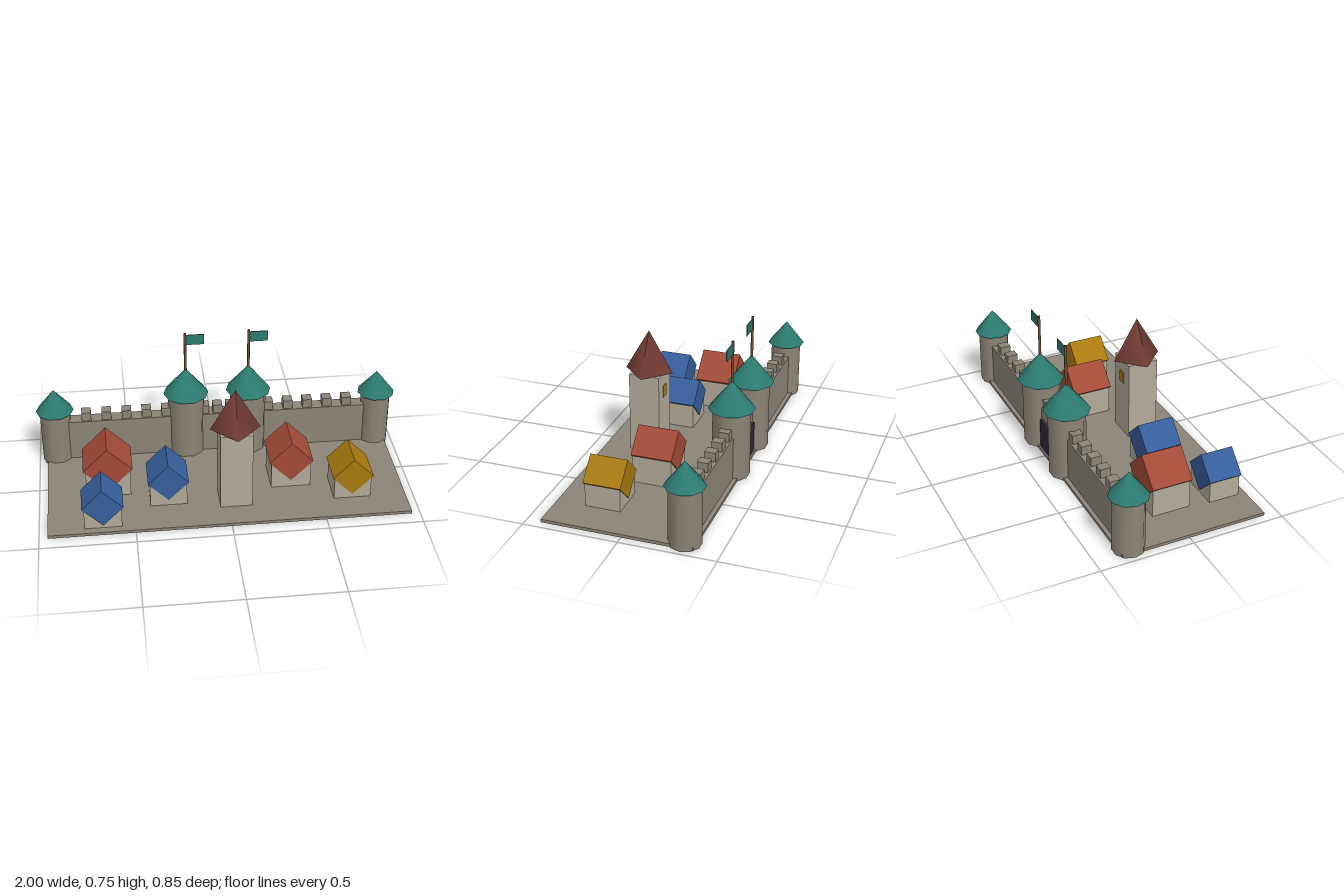
import * as THREE from 'three';

const mat = (name, color, side = THREE.FrontSide) => {
  const m = new THREE.MeshStandardMaterial({ color, side });
  m.name = name;
  return m;
};

export function createModel() {
  const model = new THREE.Group();
  model.name = 'castleTown';

  const stone = mat('stone', 0x8c8477);
  const plaster = mat('plaster', 0xb3ab99);
  const teal = mat('teal', 0x2c7a70);
  const brown = mat('brownRoof', 0x6e3a32);
  const red = mat('redRoof', 0xa34a38);
  const blue = mat('blueRoof', 0x365e9b);
  const gold = mat('gold', 0xa87a10);
  const wood = mat('wood', 0x74492f);
  const dark = mat('gateDark', 0x302839);

  const add = (parent, name, geo, material, x, y, z) => {
    const mesh = new THREE.Mesh(geo, material);
    mesh.name = name;
    mesh.position.set(x, y, z);
    parent.add(mesh);
    return mesh;
  };
  // Box given by its bottom centre
  const box = (parent, name, material, w, h, d, x, y, z) =>
    add(parent, name, new THREE.BoxGeometry(w, h, d), material, x, y + h / 2, z);
  const group = (name) => {
    const g = new THREE.Group();
    g.name = name;
    model.add(g);
    return g;
  };

  const baseTop = 0.017;
  const wallZ = -0.306;

  // Ground slab
  box(model, 'ground', stone, 1.91, baseTop, 0.79, 0, 0, 0.029);

  // Curtain wall with battlements
  const wall = group('curtainWall');
  box(wall, 'wall', stone, 1.76, 0.235, 0.075, 0, baseTop, wallZ);
  const merlonX = [0.073, 0.285, 0.395, 0.505, 0.616, 0.727];
  for (const x of [0, ...merlonX, ...merlonX.map((v) => -v)]) {
    box(wall, 'merlon', stone, 0.052, 0.05, 0.058, x, 0.252, wallZ);
  }
  box(wall, 'gate', dark, 0.15, 0.17, 0.05, 0, baseTop, -0.333);

  // Ten-sided towers with conical roofs
  const roundTower = (name, x, r, h, roofR, roofH) => {
    const g = group(name);
    g.position.set(x, 0, wallZ);
    const turn = Math.PI / 10;
    add(g, 'towerBody', new THREE.CylinderGeometry(r, r, h, 10), stone, 0, h / 2, 0).rotation.y = turn;
    add(g, 'towerRoof', new THREE.ConeGeometry(roofR, roofH, 10), teal, 0, h + roofH / 2, 0).rotation.y = turn;
    return g;
  };
  for (const s of [-1, 1]) {
    roundTower('cornerTower', s * 0.897, 0.083, 0.315, 0.103, 0.13);
    const g = roundTower('gateTower', s * 0.173, 0.1, 0.38, 0.1243, 0.154);
    add(g, 'flagpole', new THREE.CylinderGeometry(0.0074, 0.0074, 0.25, 8), wood, 0, 0.627, 0);
    box(g, 'flag', teal, 0.1, 0.06, 0.005, 0.054, 0.681, 0);
  }

  // Square keep with a four-sided spire and a rear window
  const keep = group('keep');
  keep.position.set(0.04, 0, 0.196);
  box(keep, 'keepBody', plaster, 0.17, 0.455, 0.167, 0, 0.005, 0);
  add(keep, 'keepRoof', new THREE.ConeGeometry(0.132, 0.228, 4), brown, 0, 0.574, 0);
  box(keep, 'keepWindow', gold, 0.045, 0.066, 0.006, 0, 0.322, -0.0845);

  // Houses: roofs are square beams turned on edge
  const house = (name, roof, x, z, half, centreY, length) => {
    const g = group(name);
    g.position.set(x, 0, z);
    box(g, 'houseBody', plaster, half * 1.81, centreY - 0.005, length - 0.012, 0, 0.005, 0);
    const side = half * Math.SQRT2;
    add(g, 'houseRoof', new THREE.BoxGeometry(side, side, length), roof, 0, centreY, 0).rotation.z = Math.PI / 4;
  };
  house('redHouseRight', red, -0.628, 0.006, 0.131, 0.184, 0.22);
  house('blueHouseMiddle', blue, -0.315, 0.133, 0.108, 0.16, 0.2);
  house('blueHouseFront', blue, -0.667, 0.3, 0.108, 0.143, 0.18);
  house('redHouseLeft', red, 0.353, 0.0285, 0.118, 0.178, 0.22);
  house('goldHouse', gold, 0.664, 0.175, 0.109, 0.151, 0.2);

  return model;
}
